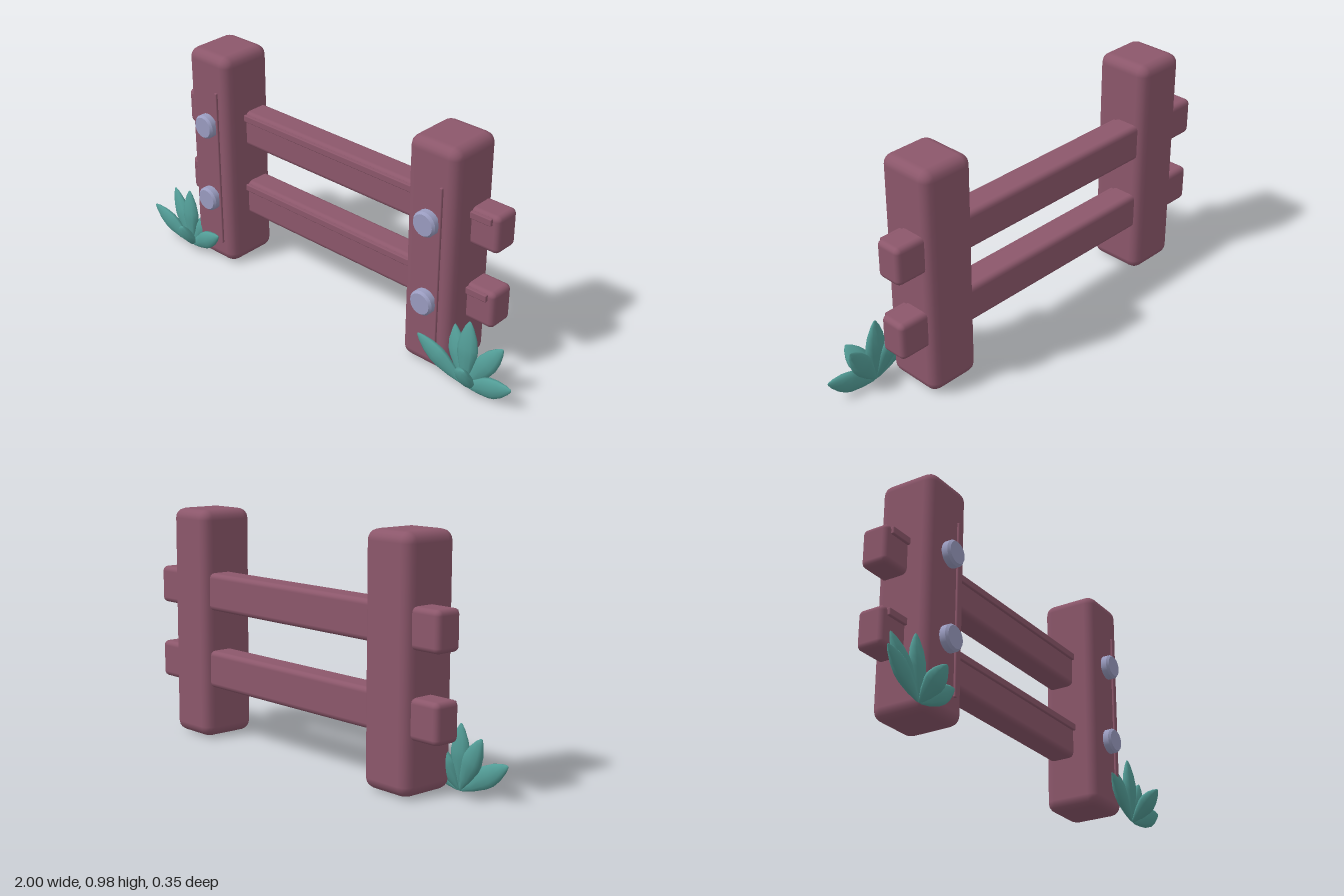
import * as THREE from 'three';
import { RoundedBoxGeometry } from 'three/addons/geometries/RoundedBoxGeometry.js';

const material = (name, color) => {
  const m = new THREE.MeshStandardMaterial({ color });
  m.name = name;
  return m;
};

export function createModel() {
  const model = new THREE.Group();
  model.name = 'fence';
  const wood = material('wood', 0x8c576b);
  const metal = material('boltMetal', 0x9a9cc0);
  const green = material('leafGreen', 0x529c96);

  const add = (name, geometry, mat, x, y, z, parent = model) => {
    const mesh = new THREE.Mesh(geometry, mat);
    mesh.name = name;
    mesh.position.set(x, y, z);
    parent.add(mesh);
    return mesh;
  };

  // Bolt head: chamfered disc facing +z
  const boltGeo = new THREE.LatheGeometry([
    [0, 0], [0.053, 0], [0.053, 0.026], [0.045, 0.036], [0, 0.036],
  ].flatMap(([r, h], i) => {
    const p = new THREE.Vector2(r, h);
    return i === 0 || i === 4 ? [p] : [p, p.clone()];
  }), 20).rotateX(Math.PI / 2);

  // Posts, each with a raised grain strip and two bolts
  const postGeo = new RoundedBoxGeometry(0.235, 0.98, 0.25, 2, 0.043);
  const railHeights = [0.305, 0.639];
  for (const [side, x] of [['right', -0.632], ['left', 0.567]]) {
    add(side + 'Post', postGeo, wood, x, 0.495, -0.047);
    add(side + 'PostGrain', new RoundedBoxGeometry(0.014, 0.725, 0.018, 1, 0.004), wood, x + 0.054, 0.462, 0.078);
    for (const y of railHeights) add(side + 'Bolt', boltGeo, metal, x, y + 0.021 - (y < 0.4 ? 0.016 : 0), 0.081);
  }

  // Rails with a thin grain strip along the upper front
  const railGeo = new RoundedBoxGeometry(1.685, 0.16, 0.118, 2, 0.022);
  const grainGeo = new RoundedBoxGeometry(1.63, 0.03, 0.018, 1, 0.004);
  for (const y of railHeights) {
    add('rail', railGeo, wood, -0.033, y, -0.087);
    add('railGrain', grainGeo, wood, -0.035, y + 0.055, -0.025);
  }

  // Leaf: flattened spindle of unit length, rounded base and pointed tip
  const leafGeo = new THREE.LatheGeometry([
    [0, 0], [0.22, 0.06], [0.62, 0.25], [0.94, 0.48], [0.97, 0.6],
    [0.78, 0.76], [0.42, 0.91], [0.14, 0.985], [0, 1],
  ].map(([r, h]) => new THREE.Vector2(r, h)), 10);

  // Tufts: leaves run from the root to each tip, flat side outward
  const addTuft = (name, root, leaves) => {
    const tuft = new THREE.Group();
    tuft.name = name;
    model.add(tuft);
    for (const [x, y, z, w] of leaves) {
      const along = new THREE.Vector3(x, y, z).sub(root);
      const length = along.length();
      along.normalize();
      const across = new THREE.Vector3().crossVectors(along, new THREE.Vector3(0, 0, 1)).normalize();
      const outward = new THREE.Vector3().crossVectors(across, along);
      const leaf = add('leaf', leafGeo, green, root.x, root.y, root.z, tuft);
      leaf.quaternion.setFromRotationMatrix(new THREE.Matrix4().makeBasis(across, along, outward));
      leaf.scale.set(w, length, 0.023);
    }
  };
  addTuft('rightTuft', new THREE.Vector3(-0.785, 0.005, 0.078), [
    [-1.0, 0.14, 0.1, 0.045], [-0.92, 0.235, 0.045, 0.045], [-0.8, 0.27, 0.065, 0.045],
    [-0.69, 0.185, 0.04, 0.042], [-0.595, 0.125, 0.09, 0.042], [-0.745, 0.145, 0.165, 0.05],
  ]);
  addTuft('leftTuft', new THREE.Vector3(0.77, 0.005, 0.075), [
    [0.55, 0.16, 0.1, 0.046], [0.67, 0.24, 0.035, 0.045], [0.77, 0.295, 0.06, 0.048],
    [0.915, 0.225, 0.04, 0.046], [0.995, 0.1, 0.087, 0.046], [0.835, 0.155, 0.172, 0.05],
  ]);
  return model;
}
